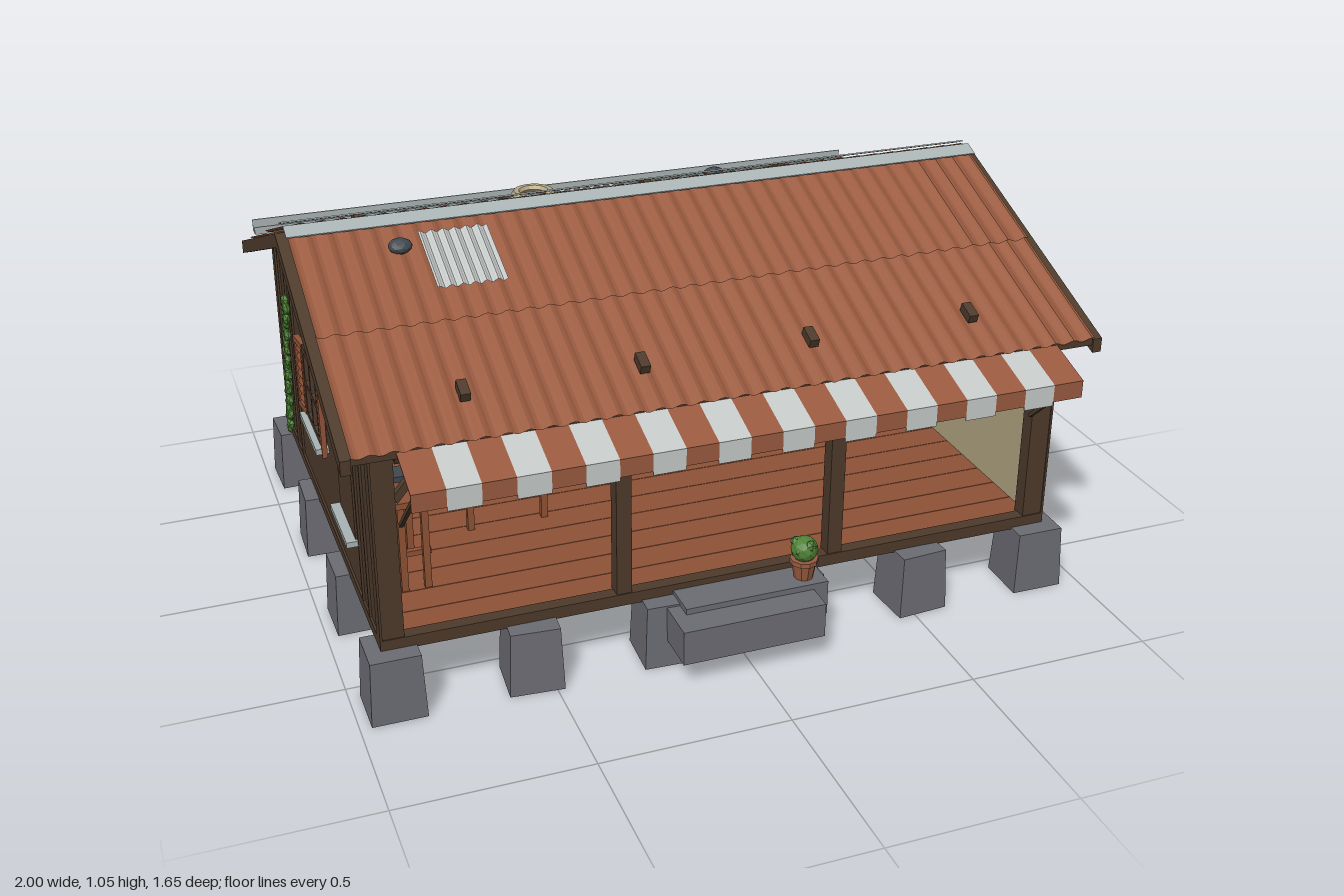
import * as THREE from 'three';

const mat = (name, color, double) => {
  const m = new THREE.MeshStandardMaterial({ color, flatShading: true });
  m.name = name;
  if (double) m.side = THREE.DoubleSide;
  return m;
};
const M = {
  tile: mat('terracotta', 0x9a5b40, true),
  wood: mat('dark wood', 0x4e3b2c),
  red: mat('red wood', 0x8f5236),
  stone: mat('stone', 0x6c6c74),
  plaster: mat('plaster', 0xb5a885),
  metal: mat('pale metal', 0xabb5b5, true),
  cloth: mat('white cloth', 0xc6cac8, true),
  glass: mat('glass', 0x8ebacb),
  leaf: mat('leaf', 0x4f8036),
  iron: mat('dark iron', 0x41484f),
};
const RIDGE_Z = -0.03, RIDGE_Y = 1.045, SLOPE = 0.39, ANGLE = Math.atan(SLOPE);

function add(parent, name, geo, m, x = 0, y = 0, z = 0) {
  const o = new THREE.Mesh(geo, m);
  o.name = name;
  o.position.set(x, y, z);
  parent.add(o);
  return o;
}
// box given by its limits on each axis
const box = (p, name, m, x0, x1, y0, y1, z0, z1) =>
  add(p, name, new THREE.BoxGeometry(x1 - x0, y1 - y0, z1 - z0), m, (x0 + x1) / 2, (y0 + y1) / 2, (z0 + z1) / 2);
// square bar between two points
function bar(p, name, m, a, b, w) {
  const A = new THREE.Vector3(...a), B = new THREE.Vector3(...b);
  const o = add(p, name, new THREE.BoxGeometry(w, w, A.distanceTo(B)), m);
  o.position.copy(A).lerp(B, 0.5);
  o.lookAt(B);
  return o;
}
// outline in z and y, extruded along x
function sideExtrude(p, name, m, pts, x, width) {
  const shape = new THREE.Shape(pts.map(([z, y]) => new THREE.Vector2(-z, y)));
  const o = add(p, name, new THREE.ExtrudeGeometry(shape, { depth: width, bevelEnabled: false }), m, x);
  o.rotation.y = Math.PI / 2;
  return o;
}
// place an object on the roof slope; side 1 is front, d is distance from the ridge
function onRoof(o, side, x, d, lift) {
  o.position.set(x, RIDGE_Y - SLOPE * d + lift, RIDGE_Z + side * d);
  o.rotation.x = side * ANGLE;
}
function corrugated(p, name, m, side, x0, x1, d0, d1, lift, waves, amp) {
  const g = new THREE.PlaneGeometry(x1 - x0, (d1 - d0) / Math.cos(ANGLE), waves * 6, 1).rotateX(-Math.PI / 2);
  const a = g.attributes.position;
  for (let i = 0; i < a.count; i++) a.setY(i, amp * Math.cos(((a.getX(i) - x0) / (x1 - x0)) * waves * Math.PI * 2));
  g.computeVertexNormals();
  onRoof(add(p, name, g, m), side, (x0 + x1) / 2, (d0 + d1) / 2, lift);
}
const chevron = (top, thick, d0, d1) => [
  [RIDGE_Z + d0, top - SLOPE * d0], [RIDGE_Z, top], [RIDGE_Z - d1, top - SLOPE * d1],
  [RIDGE_Z - d1, top - thick - SLOPE * d1], [RIDGE_Z, top - thick], [RIDGE_Z + d0, top - thick - SLOPE * d0]];

// window facing local +z; shutters listed as [side, width, louvred]
function makeWindow(name, shutters) {
  const g = new THREE.Group();
  g.name = name;
  box(g, 'glass', M.glass, -0.085, 0.085, -0.1, 0.1, 0, 0.008);
  for (const s of [-1, 0, 1]) {
    const w = s ? 0.009 : 0.007;
    box(g, 'frameUpright', M.wood, s * 0.087 - w, s * 0.087 + w, -0.105, 0.105, 0, 0.018);
    box(g, 'frameRail', M.wood, -0.096, 0.096, s * 0.098 - w, s * 0.098 + w, 0, 0.018);
  }
  box(g, 'sill', M.metal, -0.12, 0.12, -0.12, -0.104, 0, 0.035);
  for (const [s, w, louvred] of shutters) {
    const sh = new THREE.Group();
    sh.name = 'shutter';
    sh.position.set(s * (0.097 + w / 2), 0, 0.014);
    sh.rotation.y = -s * 0.12;
    g.add(sh);
    if (!louvred) box(sh, 'shutterPanel', M.red, -w / 2, w / 2, -0.105, 0.105, -0.006, 0.008);
    else {
      for (const e of [-1, 1]) {
        box(sh, 'stile', M.red, e * (w / 2 - 0.006) - 0.006, e * (w / 2 - 0.006) + 0.006, -0.105, 0.105, -0.006, 0.01);
        box(sh, 'shutterRail', M.red, -w / 2, w / 2, e * 0.097 - 0.008, e * 0.097 + 0.008, -0.006, 0.01);
      }
      box(sh, 'shutterBack', M.wood, -w / 2, w / 2, -0.1, 0.1, -0.008, -0.004);
      for (let i = 0; i < 7; i++)
        add(sh, 'slat', new THREE.BoxGeometry(w - 0.02, 0.015, 0.006), M.red, 0, -0.075 + i * 0.025, 0.002).rotation.x = -0.4;
    }
  }
  return g;
}
function table(p, name, x0, x1, z0, z1, top) {
  box(p, name + 'Top', M.red, x0, x1, top - 0.017, top, z0, z1);
  for (const x of [x0 + 0.045, x1 - 0.045]) for (const z of [z0 + 0.03, z1 - 0.03])
    box(p, name + 'Leg', M.red, x - 0.009, x + 0.009, 0.2, top - 0.017, z - 0.009, z + 0.009);
  box(p, name + 'Apron', M.red, x0 + 0.03, x1 - 0.03, top - 0.045, top - 0.017, (z0 + z1) / 2 - 0.01, (z0 + z1) / 2 + 0.01);
}

export function createModel() {
  const g = new THREE.Group();
  g.name = 'cabin';

  // foundation stones round the edge
  for (let i = 0; i < 6; i++) for (let j = 0; j < 4; j++) {
    if (i % 5 && j % 3) continue;
    const s = add(g, 'foundationStone', new THREE.CylinderGeometry(0.09, 0.1, 0.175, 4, 1).rotateY(Math.PI / 4), M.stone,
      -0.9 + i * 0.355, 0.0875, 0.61 - j * 0.425);
    s.rotation.y = Math.sin(i * 5 + j * 3) * 0.08;
  }
  // floor planks and sill beams
  for (let i = 0; i < 14; i++) box(g, 'floorPlank', M.red, -0.9, 0.88, 0.175, 0.198, -0.66 + i * 0.09, -0.572 + i * 0.09);
  box(g, 'frontSill', M.wood, -0.92, 0.9, 0.17, 0.203, 0.59, 0.625);
  box(g, 'backSill', M.wood, -0.92, 0.9, 0.17, 0.203, -0.688, -0.65);
  // steps
  box(g, 'lowerStep', M.stone, -0.205, 0.18, 0.075, 0.17, 0.67, 0.795);
  box(g, 'upperStep', M.stone, -0.17, 0.22, 0.09, 0.186, 0.58, 0.72);

  // walls with plaster lining
  const gable = [[0.62, 0.17], [0.62, 0.755], [RIDGE_Z, 1.01], [-0.68, 0.755], [-0.68, 0.17]];
  const lining = [[0.6, 0.2], [0.6, 0.75], [RIDGE_Z, 0.99], [-0.65, 0.75], [-0.65, 0.2]];
  sideExtrude(g, 'leftWall', M.wood, gable, -0.92, 0.025);
  sideExtrude(g, 'rightWall', M.wood, gable, 0.875, 0.025);
  sideExtrude(g, 'leftLining', M.plaster, lining, -0.895, 0.006);
  sideExtrude(g, 'rightLining', M.plaster, lining, 0.869, 0.006);
  box(g, 'backWall', M.wood, -0.92, 0.9, 0.17, 0.755, -0.68, -0.656);
  box(g, 'backLining', M.plaster, -0.89, 0.87, 0.2, 0.755, -0.656, -0.65);
  for (let i = 0; i < 19; i++) {
    const x = -0.87 + i * 0.0965 + Math.sin(i * 7) * 0.015;
    box(g, 'backBatten', M.wood, x - 0.006, x + 0.006, 0.2, 0.74, -0.688, -0.68);
  }
  for (const [x0, x1] of [[-0.926, -0.92], [0.9, 0.906]]) {
    for (const z of [-0.6, -0.5, -0.42, 0.42, 0.5]) box(g, 'sideBatten', M.wood, x0, x1, 0.2, 0.77, z - 0.004, z + 0.004);
    box(g, 'gableSeam', M.wood, x0, x1, 0.765, 0.773, -0.62, 0.57);
    box(g, 'sideSill', M.wood, x0, x1, 0.17, 0.2, -0.685, 0.625);
    for (const z of [-0.685, 0.585]) box(g, 'cornerBoard', M.wood, x0, x1, 0.17, 0.755, z, z + 0.04);
  }

  // front posts, beam and knee braces
  [[-0.92, -0.865], [-0.32, -0.28], [0.262, 0.302], [0.845, 0.9]].forEach(([a, b], i) => {
    box(g, 'post', M.wood, a, b, 0.2, 0.74, 0.58, 0.622);
    for (const s of [-1, 1]) {
      if ((i === 0 && s < 0) || (i === 3 && s > 0)) continue;
      const x = s < 0 ? a : b;
      bar(g, 'kneeBrace', M.wood, [x, 0.57, 0.6], [x + s * 0.1, 0.69, 0.6], 0.02);
    }
  });
  box(g, 'frontBeam', M.wood, -0.92, 0.9, 0.685, 0.75, 0.58, 0.62);

  // roof deck, verge boards, rafter tails and tiles
  sideExtrude(g, 'roofDeck', M.wood, chevron(1.03, 0.02, 0.725, 0.725), -0.975, 1.93);
  for (const x of [-1, 0.955]) sideExtrude(g, 'vergeBoard', M.wood, chevron(1.03, 0.038, 0.73, 0.73), x, 0.025);
  for (let i = 0; i < 11; i++) for (const s of [-1, 1])
    onRoof(add(g, 'rafterTail', new THREE.BoxGeometry(0.025, 0.03, 0.13), M.wood), s, -0.86 + i * 0.17, 0.65, -0.05);
  for (const s of [-1, 1]) {
    corrugated(g, 'upperTiles', M.tile, s, -0.975, 0.955, 0, 0.38, 0, 36, 0.005);
    corrugated(g, 'lowerTiles', M.tile, s, -0.975, 0.955, 0.36, 0.735, -0.009, 36, 0.005);
    onRoof(add(g, 'ridgeFlashing', new THREE.BoxGeometry(1.94, 0.004, 0.045), M.metal), s, -0.01, 0.036, 0.012);
    // snow hooks
    for (let i = 0; i < 4; i++)
      onRoof(add(g, 'snowHook', new THREE.BoxGeometry(0.025, 0.024, 0.05), M.wood), s, -0.68 + i * 0.445, 0.608, 0.008);
  }
  // roof patches, loose stones and straw ring
  corrugated(g, 'frontPatch', M.cloth, 1, -0.655, -0.475, 0.095, 0.29, 0.014, 6, 0.005);
  corrugated(g, 'backPatch', M.cloth, -1, -0.145, 0.03, 0.36, 0.55, 0.014, 6, 0.005);
  for (const [s, x, d] of [[1, -0.71, 0.135], [-1, 0.375, 0.46]]) {
    const r = add(g, 'roofStone', new THREE.IcosahedronGeometry(0.03, 1), M.iron);
    onRoof(r, s, x, d, 0.015);
    r.scale.set(1.05, 0.6, 0.85);
  }
  const ring = add(g, 'strawRing', new THREE.TorusGeometry(0.048, 0.014, 6, 16).rotateX(Math.PI / 2), M.plaster, -0.24, 0.95, -0.31);
  ring.scale.y = 0.8;

  // gutter, downpipe and rain barrel
  box(g, 'gutterBottom', M.metal, -0.96, 0.94, 0.758, 0.764, -0.8, -0.762);
  for (const z of [-0.801, -0.766]) box(g, 'gutterLip', M.metal, -0.96, 0.94, 0.758, z < -0.78 ? 0.792 : 0.78, z, z + 0.004);
  const pipe = new THREE.CatmullRomCurve3([[0.76, -0.782], [0.73, -0.77], [0.67, -0.7], [0.62, -0.695], [0.43, -0.695], [0.36, -0.715]]
    .map(([y, z]) => new THREE.Vector3(0.925, y, z)));
  add(g, 'downpipe', new THREE.TubeGeometry(pipe, 24, 0.011, 8), M.metal);
  const barrel = [[0, 0], [0.057, 0], [0.067, 0.05], [0.071, 0.105], [0.067, 0.16], [0.057, 0.21], [0.05, 0.21], [0.05, 0.195], [0, 0.195]];
  add(g, 'barrel', new THREE.LatheGeometry(barrel.map(p => new THREE.Vector2(...p)), 14), M.red, 0.929, 0.14, -0.754);
  for (const y of [0.035, 0.07, 0.145, 0.18])
    add(g, 'barrelHoop', new THREE.CylinderGeometry(0.07, 0.07, 0.009, 14, 1, true), M.iron, 0.929, 0.14 + y, -0.754)
      .scale.setScalar(y < 0.05 || y > 0.17 ? 0.95 : 1.01);

  // striped awning and its struts
  const pitch = Math.atan2(0.065, 0.206), w = 1.72 / 21;
  for (let i = 0; i < 21; i++) {
    const x = -0.87 + (i + 0.5) * w, m = i % 2 ? M.cloth : M.tile, h = i % 2 ? 0.055 : 0.045;
    add(g, 'awningStripe', new THREE.BoxGeometry(w, 0.004, 0.216), m, x, 0.7325, 0.723).rotation.x = pitch;
    add(g, 'awningValance', new THREE.BoxGeometry(w, h, 0.004), m, x, 0.7 - h / 2, 0.824);
  }
  for (const x of [-0.855, 0.84]) bar(g, 'awningStrut', M.wood, [x, 0.698, 0.82], [x, 0.51, 0.62], 0.01);

  // windows, gable vent and serving hatch
  const place = (o, x, y, z) => { o.position.set(x, y, z); o.rotation.y = Math.sign(x) * Math.PI / 2; g.add(o); };
  place(makeWindow('rightFrontWindow', [[-1, 0.075], [1, 0.085]]), 0.9, 0.545, 0.187);
  place(makeWindow('rightBackWindow', [[-1, 0.085, true], [1, 0.075, true]]), 0.9, 0.545, -0.24);
  place(makeWindow('leftWindow', [[1, 0.075], [-1, 0.075, true]]), -0.92, 0.545, -0.08);
  for (const [x0, x1] of [[-0.93, -0.92], [0.9, 0.91]]) {
    box(g, 'ventFrame', M.wood, x0, x1, 0.875, 0.955, -0.077, 0.02);
    for (let i = 0; i < 4; i++) box(g, 'ventSlat', M.red, x0 - 0.004, x1 + 0.004, 0.881 + i * 0.019, 0.894 + i * 0.019, -0.071, 0.014);
  }
  box(g, 'hatch', M.wood, -0.93, -0.92, 0.37, 0.68, 0.22, 0.41);
  box(g, 'hatchLintel', M.red, -0.945, -0.92, 0.68, 0.692, 0.21, 0.42);
  box(g, 'hatchSill', M.metal, -0.955, -0.92, 0.355, 0.37, 0.21, 0.42);

  // counter, table and benches inside
  table(g, 'counter', -0.86, -0.71, 0.18, 0.44, 0.465);
  box(g, 'counterRail', M.red, -0.83, -0.74, 0.29, 0.305, 0.39, 0.405);
  box(g, 'counterBox', M.iron, -0.82, -0.765, 0.465, 0.48, 0.27, 0.33);
  add(g, 'mug', new THREE.CylinderGeometry(0.013, 0.013, 0.03, 10), M.metal, -0.737, 0.48, 0.3);
  table(g, 'table', -0.625, -0.33, -0.05, 0.2, 0.38);
  box(g, 'longBenchSeat', M.red, -0.235, 0.43, 0.255, 0.272, -0.12, 0.02);
  for (const x of [-0.135, 0.1, 0.325]) box(g, 'longBenchLeg', M.red, x - 0.011, x + 0.011, 0.2, 0.33, -0.07, -0.03);
  for (const x of [-0.195, -0.07, 0.005, 0.12, 0.25, 0.375]) box(g, 'longBenchStake', M.wood, x - 0.005, x + 0.005, 0.27, 0.385, -0.12, -0.11);
  box(g, 'wallBenchSeat', M.red, 0.3, 0.685, 0.248, 0.262, -0.6, -0.46);
  for (const y of [0.275, 0.308]) box(g, 'wallBenchSlat', M.red, 0.25, 0.685, y, y + 0.024, -0.61, -0.597);
  for (const x of [0.33, 0.65]) box(g, 'wallBenchLeg', M.red, x - 0.01, x + 0.01, 0.2, 0.25, -0.6, -0.47);

  // potted plant
  add(g, 'pot', new THREE.CylinderGeometry(0.034, 0.025, 0.05, 10), M.tile, 0.17, 0.211, 0.675);
  add(g, 'potRim', new THREE.CylinderGeometry(0.037, 0.037, 0.013, 10), M.tile, 0.17, 0.236, 0.675);
  add(g, 'bush', new THREE.IcosahedronGeometry(0.036, 1), M.leaf, 0.17, 0.268, 0.675);
  for (let i = 0; i < 5; i++)
    add(g, 'bushTuft', new THREE.IcosahedronGeometry(0.016, 0), M.leaf, 0.17 + Math.cos(i * 1.26) * 0.022, 0.27 + (i % 2) * 0.016, 0.675 + Math.sin(i * 1.26) * 0.022);

  // climbing ivy
  for (let i = 0; i < 26; i++) {
    const t = i / 25;
    const l = add(g, 'ivyLeaf', new THREE.IcosahedronGeometry(0.021, 0), M.leaf,
      -0.928, 0.19 + t * 0.46, -0.62 + t * 0.13 + Math.sin(i * 2.4) * 0.015);
    l.scale.x = 0.6;
    l.rotation.x = i * 1.3;
  }
  return g;
}
